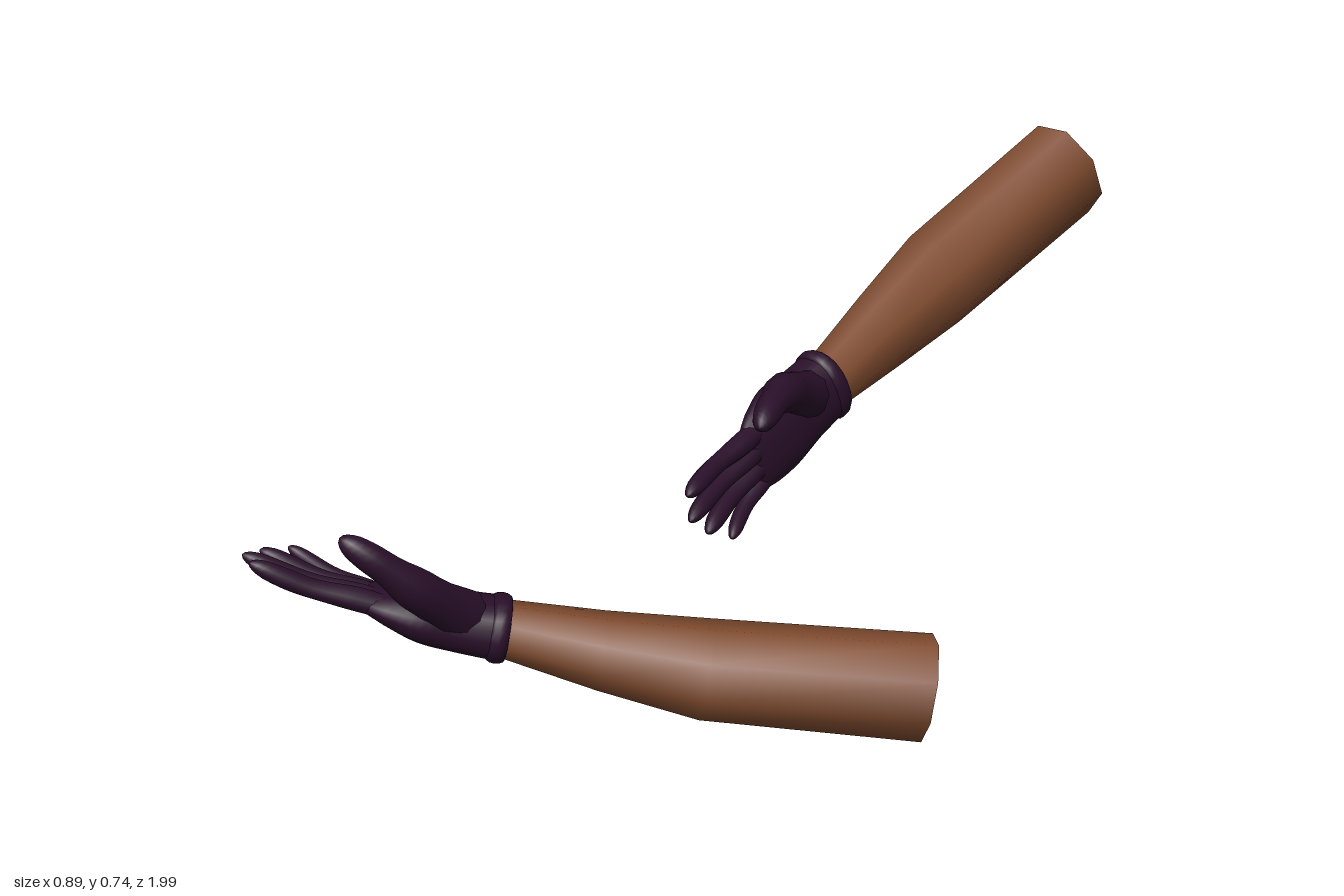
import * as THREE from 'three';

// Surface through elliptical rings { c: centre, u, v: half-axes }
function loft(rings, sides, power = 1) {
  const pos = [], idx = [];
  const shape = (t) => Math.sign(t) * Math.abs(t) ** power;
  rings.forEach(({ c, u, v }, i) => {
    for (let j = 0; j < sides; j++) {
      const a = ((j + 0.5) / sides) * Math.PI * 2;
      const p = c.clone().addScaledVector(u, shape(Math.cos(a))).addScaledVector(v, shape(Math.sin(a)));
      pos.push(p.x, p.y, p.z);
      if (i === rings.length - 1) continue;
      const k = i * sides + j, next = i * sides + ((j + 1) % sides);
      idx.push(k, next, k + sides, next, next + sides, k + sides);
    }
  });
  const g = new THREE.BufferGeometry();
  g.setAttribute('position', new THREE.Float32BufferAttribute(pos, 3));
  g.setIndex(idx);
  g.computeVertexNormals();
  return g;
}

// Ring square to the arm's axis
const ring = (x, y, z, w, t) => ({
  c: new THREE.Vector3(x, y, z),
  u: new THREE.Vector3(w, 0, 0),
  v: new THREE.Vector3(0, t, 0),
});

// Smoothly resample [x, y, z, width, thickness] rows into n + 1 rings
function smoothRings(rows, n) {
  const centre = new THREE.CatmullRomCurve3(rows.map((r) => new THREE.Vector3(r[0], r[1], r[2])));
  const size = new THREE.CatmullRomCurve3(rows.map((r) => new THREE.Vector3(r[3], r[4], 0)));
  return Array.from({ length: n + 1 }, (_, i) => {
    const c = centre.getPoint(i / n), s = size.getPoint(i / n);
    return ring(c.x, c.y, c.z, s.x, s.y);
  });
}

// Tapered, round-tipped digit along a curve
function digit(points, r0, r1) {
  const curve = new THREE.CatmullRomCurve3(points.map((p) => new THREE.Vector3(...p)));
  const up = new THREE.Vector3(0, 1, -0.4);
  const n = 16, rings = [];
  for (let i = 0; i <= n; i++) {
    const t = 1 - (1 - i / n) ** 1.6;
    const tip = Math.max(0, (t - 0.88) / 0.12);
    const r = (r0 + (r1 - r0) * t) * (1 + 0.05 * Math.cos(t * Math.PI * 5)) * Math.sqrt(Math.max(0.0004, 1 - tip * tip));
    const d = curve.getTangent(t);
    const u = d.clone().cross(up).normalize();
    const v = d.clone().cross(u);
    rings.push({ c: curve.getPoint(t), u: u.multiplyScalar(r), v: v.multiplyScalar(r) });
  }
  return loft(rings, 10);
}

// One arm with the wrist at the origin: fingers along +z, palm facing +y,
// thumb towards x = side
function makeArm(name, side, skin, glove) {
  const arm = new THREE.Group();
  arm.name = name;
  const add = (part, geometry, material) => {
    const mesh = new THREE.Mesh(geometry, material);
    mesh.name = part;
    arm.add(mesh);
  };
  const mirror = ([x, ...rest]) => [side * x, ...rest];

  // Bare eight-sided forearm, open at the elbow
  const forearm = [
    [0, 0, -0.738, 0.103, 0.094],
    [-0.011, -0.025, -0.355, 0.1, 0.087],
    [-0.009, -0.017, -0.175, 0.08, 0.068],
    [0, 0, 0, 0.058, 0.049],
    [0, 0, 0.04, 0.054, 0.045],
  ];
  add('forearm', loft(forearm.map((r) => ring(...mirror(r))), 8), skin);

  // Gloved palm, tapering to the knuckles
  const palm = [
    [0, 0, 0, 0.068, 0.054],
    [0, 0.002, 0.07, 0.074, 0.05],
    [0.002, 0.008, 0.14, 0.086, 0.045],
    [-0.002, 0.016, 0.2, 0.08, 0.031],
    [-0.005, 0.02, 0.235, 0.064, 0.018],
    [-0.005, 0.02, 0.243, 0.002, 0.001],
  ];
  add('palm', loft(smoothRings(palm.map(mirror), 20), 20, 0.85), glove);

  // Rolled rim at the wrist
  const rim = [];
  for (let i = 0; i <= 6; i++) {
    const a = (i / 6) * Math.PI;
    const k = 0.9 + 0.16 * Math.sin(a);
    rim.push(ring(0, 0, 0.005 - 0.017 * Math.cos(a), 0.07 * k, 0.056 * k));
  }
  add('cuff', loft(rim, 20, 0.9), glove);

  // Four fanned fingers with a slight curl
  const reach = { indexFinger: 0.433, middleFinger: 0.447, ringFinger: 0.42, littleFinger: 0.374 };
  Object.entries(reach).forEach(([part, z], i) => {
    const base = [0.046 - 0.035 * i, 0.026 - 0.003 * i, 0.237 - 0.004 * i];
    const tip = [0.078 - 0.048 * i, 0.072, z];
    const middle = base.map((b, k) => (b + tip[k]) / 2 - (k === 1 ? 0.008 : 0));
    const root = [base[0] * 0.9, base[1] - 0.012, base[2] - 0.06];
    const r = i === 3 ? 0.021 : 0.024;
    add(part, digit([root, base, middle, tip].map(mirror), r, r - 0.009), glove);
  });

  // Raised thumb
  const thumb = [[0.028, 0.02, 0.07], [0.105, 0.07, 0.148], [0.14, 0.115, 0.22], [0.15, 0.153, 0.293]];
  add('thumb', digit(thumb.map(mirror), 0.046, 0.018), glove);
  return arm;
}

// Stand an arm at its wrist, given the reaching and thumb directions
function place(arm, side, wrist, forward, thumbward) {
  const z = new THREE.Vector3(...forward).normalize();
  const x = new THREE.Vector3(...thumbward).multiplyScalar(side);
  const y = z.clone().cross(x).normalize();
  x.crossVectors(y, z);
  arm.quaternion.setFromRotationMatrix(new THREE.Matrix4().makeBasis(x, y, z));
  arm.position.set(...wrist);
  return arm;
}

export function createModel() {
  const skin = new THREE.MeshStandardMaterial({ color: 0x7f4b2f, side: THREE.DoubleSide });
  skin.name = 'brown skin';
  const glove = new THREE.MeshStandardMaterial({ color: 0x2a102a, side: THREE.DoubleSide });
  glove.name = 'dark purple glove';

  const model = new THREE.Group();
  model.name = 'glovedArms';
  model.add(
    place(makeArm('leftArm', 1, skin, glove), 1, [-0.057, 0.23, 0.61], [-0.568, 0.184, 0.802], [0.822, 0.158, 0.546]),
    place(makeArm('rightArm', -1, skin, glove), -1, [-0.275, 0.396, -0.28], [0.123, -0.353, 0.928], [0.008, 0.938, 0.35]),
  );
  return model;
}
